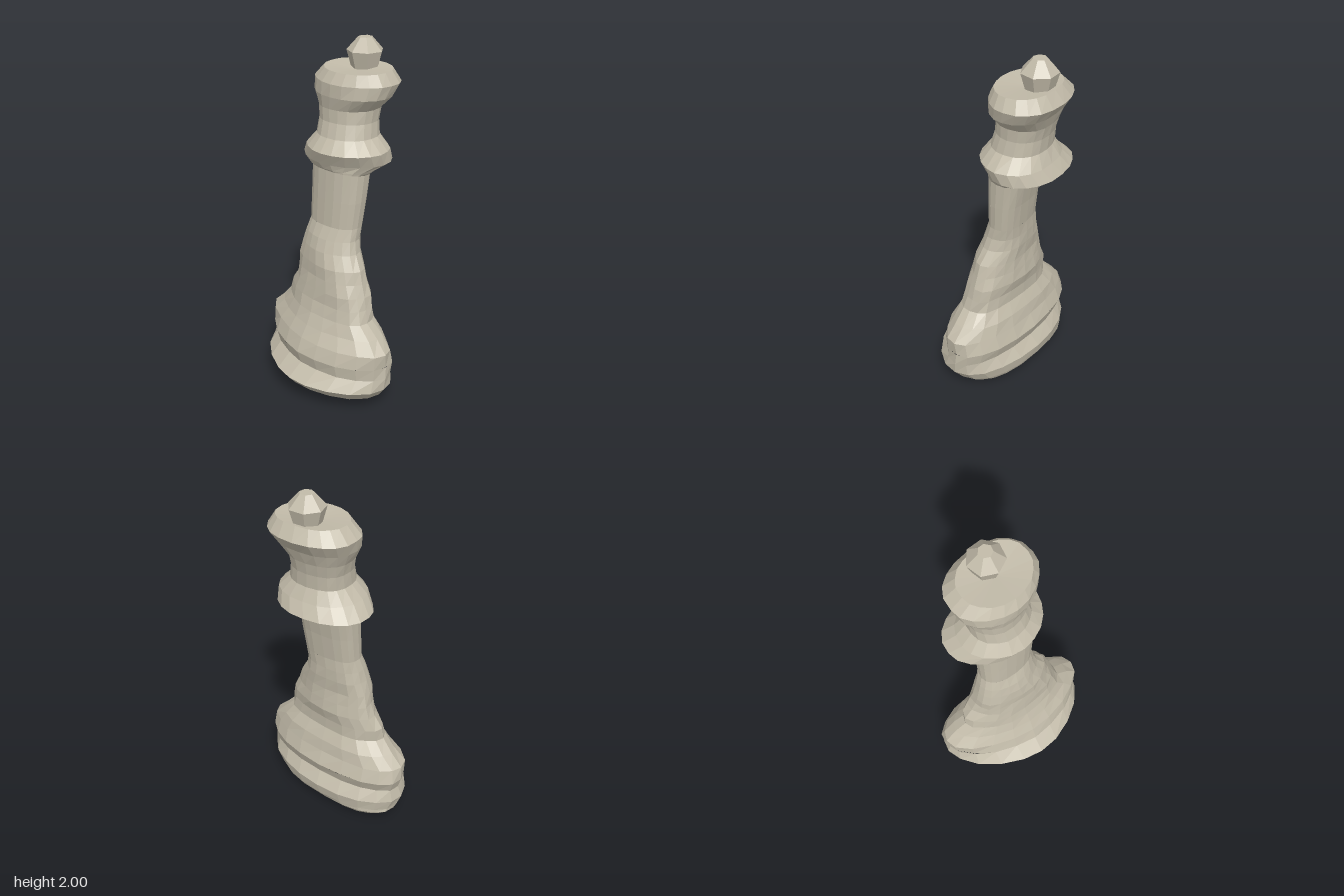
import * as THREE from 'three';

const SIDES = 20;

// Small repeatable offset, so rings shared by two parts still match
function noise(y, i) {
  const s = Math.sin(y * 91.7 + i * 37.3) * 4375.85;
  return (s - Math.floor(s)) * 2 - 1;
}

// Ring: [y, xMin, xMax, zMin, zMax, roundness, middle, tilt]
// roundness below 1 gives fuller corners (the back is always a little fuller),
// middle is where the widest line lies from back (0) to front (1), tilt raises the front
function ringPoint([y, x0, x1, z0, z1, power = 1, middle = 0.5, tilt = 0], i, folds, rough) {
  const a = (i / SIDES) * Math.PI * 2;
  const back = Math.sin(a) < 0;
  const bend = (v) => Math.sign(v) * Math.abs(v) ** (back ? power * 0.85 : power);
  const fade = Math.max(0, Math.sin(((y - 0.28) / 0.72) * Math.PI));
  const k = 1 + folds * fade * Math.sin(5 * a - y * 12 + 4.77) + rough * noise(y, i);
  const zMid = z0 + (z1 - z0) * middle;
  const x = (x0 + x1) / 2 + ((x1 - x0) / 2) * bend(Math.cos(a)) * k;
  // The lower half is skewed, its +x side standing further forward
  const skew = 0.08 * Math.min(1, Math.max(0, (1 - y) / 0.3));
  return [
    x,
    y + tilt * Math.sin(a),
    zMid + (back ? zMid - z0 : z1 - zMid) * bend(Math.sin(a)) * k + skew * x,
  ];
}

// Skin a stack of rings, with optional end caps
function loft(rings, { bottom = false, top = false, folds = 0, rough = 0.012, dip = 0 } = {}) {
  const pos = [], index = [];
  rings.forEach((r) => {
    for (let i = 0; i < SIDES; i++) pos.push(...ringPoint(r, i, folds, rough));
  });
  for (let r = 0; r < rings.length - 1; r++) {
    for (let i = 0; i < SIDES; i++) {
      const j = (i + 1) % SIDES, a = r * SIDES, b = a + SIDES;
      index.push(a + i, b + i, a + j, a + j, b + i, b + j);
    }
  }
  const cap = (r, flip, dy) => {
    const [y, x0, x1, z0, z1] = rings[r];
    const c = pos.length / 3;
    pos.push((x0 + x1) / 2, y + dy, (z0 + z1) / 2);
    for (let i = 0; i < SIDES; i++) {
      const p = r * SIDES + i, q = r * SIDES + ((i + 1) % SIDES);
      index.push(c, flip ? q : p, flip ? p : q);
    }
  };
  if (bottom) cap(0, false, 0);
  if (top) cap(rings.length - 1, true, -dip);
  const g = new THREE.BufferGeometry();
  g.setAttribute('position', new THREE.Float32BufferAttribute(pos, 3));
  g.setIndex(index);
  const flat = g.toNonIndexed();
  flat.computeVertexNormals();
  return flat;
}

export function createModel() {
  const group = new THREE.Group();
  const stone = new THREE.MeshStandardMaterial({ color: 0xc2bba9, flatShading: true });
  stone.name = 'warm grey stone';
  const add = (name, rings, options) => {
    const mesh = new THREE.Mesh(loft(rings, options), stone);
    mesh.name = name;
    group.add(mesh);
  };

  // Rings shared between neighbouring parts
  const baseTop = [0.28, -0.465, 0.462, -0.19, 0.28, 1.1, 0.42];
  const waist = [1.0, -0.167, 0.165, -0.12, 0.072, 0.9];
  const neckTop = [1.305, -0.165, 0.185, -0.165, 0.062, 0.9, 0.5, 0.015];
  const collarTop = [1.5, -0.16, 0.19, -0.25, 0.06];

  // Wide oval foot with a groove and a gently rounded underside
  add('base', [
    [0.003, -0.24, 0.19, -0.11, 0.04],
    [0.022, -0.38, 0.32, -0.16, 0.11, 1, 0.5, 0.005],
    [0.055, -0.43, 0.38, -0.19, 0.2, 1.05, 0.46],
    [0.075, -0.44, 0.41, -0.2, 0.29, 1.1, 0.42],
    [0.14, -0.465, 0.462, -0.215, 0.35, 1.15, 0.42],
    [0.21, -0.445, 0.46, -0.165, 0.262, 1.1, 0.42],
    baseTop,
  ], { bottom: true, rough: 0.008 });

  // Flared body with folds slanting down across the front
  add('body', [
    baseTop,
    [0.36, -0.462, 0.46, -0.16, 0.25, 1.1, 0.43],
    [0.43, -0.385, 0.395, -0.145, 0.208, 1.05, 0.45],
    [0.5, -0.315, 0.325, -0.11, 0.18, 1, 0.46],
    [0.57, -0.305, 0.305, -0.11, 0.16, 1, 0.47],
    [0.64, -0.26, 0.285, -0.125, 0.152],
    [0.71, -0.24, 0.255, -0.118, 0.142],
    [0.78, -0.23, 0.235, -0.112, 0.137],
    [0.86, -0.205, 0.185, -0.12, 0.122],
    [0.93, -0.188, 0.168, -0.12, 0.102],
    waist,
  ], { folds: 0.03 });

  // Slim neck leaning backwards
  add('neck', [
    waist,
    [1.15, -0.165, 0.177, -0.14, 0.067, 0.9],
    neckTop,
  ], { rough: 0.01 });

  // Sharp-edged collar, its underside higher at the front
  add('collar', [
    neckTop,
    [1.318, -0.2, 0.2, -0.195, 0.07, 1, 0.5, 0.012],
    [1.362, -0.29, 0.255, -0.328, 0.09, 1.1, 0.48],
    [1.43, -0.225, 0.262, -0.285, 0.115, 1.05, 0.48],
    collarTop,
  ]);

  // Flared crown with a shallow dished top
  add('crown', [
    collarTop,
    [1.58, -0.16, 0.175, -0.255, 0.035],
    [1.65, -0.175, 0.18, -0.272, 0.032],
    [1.72, -0.21, 0.252, -0.3, 0.046],
    [1.79, -0.226, 0.277, -0.348, 0.046, 1.05],
    [1.853, -0.16, 0.236, -0.3, 0.012, 1, 0.5, -0.005],
  ], { top: true, dip: 0.015 });

  // Faceted knob at the back of the crown
  const addKnob = (name, topRadius, bottomRadius, height, y) => {
    const knob = new THREE.Mesh(new THREE.CylinderGeometry(topRadius, bottomRadius, height, 7), stone);
    knob.name = name;
    knob.position.set(0.032, y, -0.207);
    group.add(knob);
  };
  addKnob('finialTop', 0.038, 0.1, 0.07, 1.965);
  addKnob('finialBase', 0.1, 0.072, 0.1, 1.88);

  return group;
}
